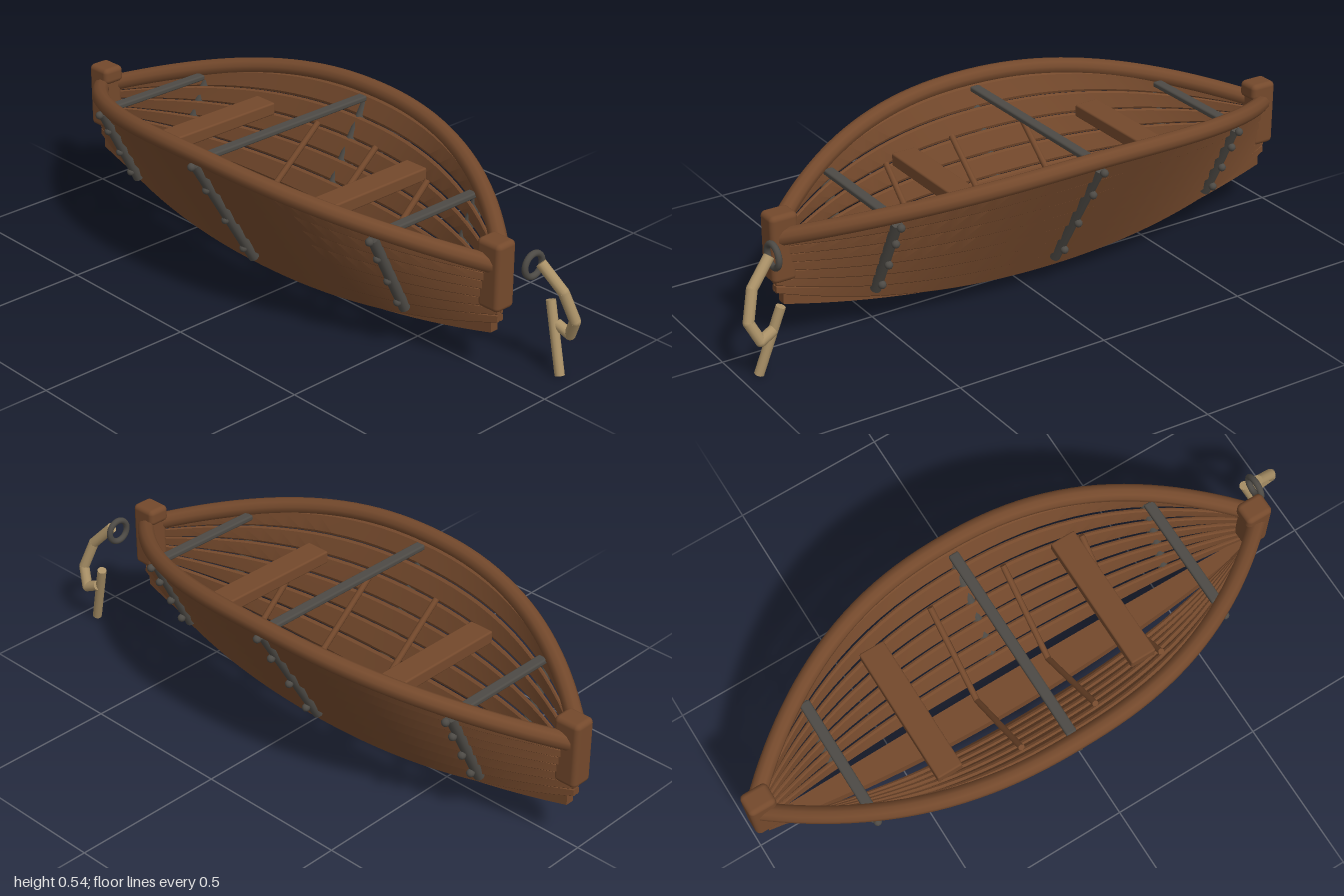
import * as THREE from 'three';
import { toCreasedNormals } from 'three/addons/utils/BufferGeometryUtils.js';
import { RoundedBoxGeometry } from 'three/addons/geometries/RoundedBoxGeometry.js';

const CX = -0.08;   // middle of the hull along x
const HALF = 0.9;   // half length of the hull
const V = (x, y, z) => new THREE.Vector3(x, y, z);
const lerp = THREE.MathUtils.lerp;

// Fullness along the hull (t runs -1..1): sheer in height, beam in width
const sheer = t => 1 - t * t;
const beam = t => 1 - Math.abs(t) ** 2.3;

// Skin a list of equal-sized cross-sections, with capped ends
function loft(sections) {
  const n = sections[0].length, pos = [], tris = [];
  for (const s of sections) for (const p of s) pos.push(p.x, p.y, p.z);
  for (let i = 0; i < sections.length - 1; i++) {
    for (let j = 0; j < n; j++) {
      const a = i * n + j, b = i * n + (j + 1) % n;
      tris.push([a, b, b + n], [a, b + n, a + n]);
    }
  }
  const last = (sections.length - 1) * n;
  for (let j = 1; j < n - 1; j++) tris.push([0, j + 1, j], [last, last + j, last + j + 1]);
  // Turn the faces outward if the enclosed volume is negative
  const at = i => V(pos[3 * i], pos[3 * i + 1], pos[3 * i + 2]);
  const volume = tris.reduce((v, t) => v + at(t[0]).dot(at(t[1]).cross(at(t[2]))), 0);
  if (volume < 0) tris.forEach(t => t.reverse());
  const g = new THREE.BufferGeometry();
  g.setAttribute('position', new THREE.Float32BufferAttribute(pos, 3));
  g.setIndex(tris.flat());
  return toCreasedNormals(g, 0.6);
}

export function createModel() {
  const boat = new THREE.Group();
  boat.name = 'rowingBoat';
  const material = (name, color) => Object.assign(new THREE.MeshStandardMaterial({ color }), { name });
  const wood = material('brown wood', 0x74492c);
  const iron = material('dark iron', 0x4d4a45);
  const rope = material('tan rope', 0xab9268);

  const add = (name, geometry, mat, x = 0, y = 0, z = 0) => {
    const m = new THREE.Mesh(geometry, mat);
    m.name = name;
    m.position.set(x, y, z);
    boat.add(m);
    return m;
  };
  const rod = (name, a, b, r, mat, sides = 12) => {
    const m = add(name, new THREE.CylinderGeometry(r, r, a.distanceTo(b), sides), mat);
    m.position.copy(a).lerp(b, 0.5);
    m.quaternion.setFromUnitVectors(V(0, 1, 0), b.clone().sub(a).normalize());
  };

  // Point on the hull: k runs from keel to rim (0..1)
  const hull = (t, k) => ({
    y: lerp(lerp(0.19, 0.34, k), lerp(0.085, 0.465, k), sheer(t)),
    z: lerp(0.006, lerp(0.104, 0.338, k), beam(t)),
  });

  const steps = 32, strakes = 7;
  const stations = Array.from({ length: steps + 1 }, (_, i) => -1 + 2 * i / steps);

  for (const side of [1, -1]) {
    // Side planks with fine gaps, lower edges leaning outward
    for (let i = 0; i < strakes; i++) {
      const k = i / (strakes - 1);
      const sections = stations.map(t => {
        const s = sheer(t), c = hull(t, k);
        const angle = lerp(0.05, 0.55, s) - 0.14;
        const dz = Math.sin(angle), dy = Math.cos(angle);
        const w = lerp(0.0115, 0.0365, s), h = lerp(0.006, 0.009, s);
        return [[-1, -0.4], [-0.8, -1], [0.8, -1], [1, -0.4], [1, 0.4], [0.8, 1], [-0.8, 1], [-1, 0.4]]
          .map(([u, v]) => V(CX + t * HALF, c.y + u * w * dy - v * h * dz,
            side * (c.z + u * w * dz + v * h * dy)));
      });
      add('sidePlank', loft(sections), wood);
    }

    // Round rim along the top edge
    const rimPath = new THREE.CatmullRomCurve3(stations.map(t =>
      V(CX + t * 0.885, 0.36 + 0.158 * sheer(t), side * (0.014 + 0.354 * beam(t)))));
    add('gunwale', new THREE.TubeGeometry(rimPath, 48, 0.027, 10), wood);

    // Iron straps with rivets on the outside
    const inset = side > 0 ? 0 : 0.009;
    for (const [x, z1, y1, z0, y0] of [
      [-0.69, 0.226, 0.412, 0.09, 0.142],
      [-0.08, 0.362, 0.481, 0.132, 0.094],
      [0.53, 0.226, 0.412, 0.09, 0.142]]) {
      rod('strap', V(x, y1, side * (z1 - inset)), V(x, y0, side * (z0 - inset)), 0.017, iron);
      for (const f of [0, 0.24, 0.56, 0.87]) {
        add('rivet', new THREE.SphereGeometry(0.013, 10, 8), iron,
          x, lerp(y1, y0, f) - 0.005, side * (lerp(z1, z0, f) + 0.013));
      }
    }

    // Slim ribs down the inside, meeting above the keel
    for (const x of [-0.21, 0.05, 0.31]) {
      const top = hull((x - CX) / HALF, 0.8);
      rod('rib', V(x, top.y, side * (top.z - 0.025)), V(x, 0.165, 0), 0.01, wood, 8);
    }
  }

  // Curved keel board, narrowing toward both ends
  add('keel', loft(stations.map(t => {
    const s = sheer(t), w = lerp(0.014, 0.055, s), y = lerp(0.14, 0.035, s);
    return [[-1, 0], [1, 0], [1, 1], [-1, 1]].map(([u, v]) =>
      V(CX + t * 0.88, y + v * 0.04, u * w));
  })), wood);

  // End posts
  for (const end of [-1, 1]) {
    add('endPost', new RoundedBoxGeometry(0.08, 0.215, 0.075, 3, 0.016), wood, CX + end * 0.88, 0.328, 0);
    add('endPostCap', new RoundedBoxGeometry(0.09, 0.055, 0.075, 3, 0.016), wood, CX + end * 0.875, 0.408, 0);
  }

  // Benches
  for (const x of [-0.43, 0.25]) {
    add('bench', new RoundedBoxGeometry(0.085, 0.042, 0.46, 2, 0.006), wood, x, 0.385, -0.01);
  }

  // Flat iron bars across the hull
  for (const [x, y, half] of [[-0.69, 0.42, 0.19], [-0.08, 0.494, 0.335], [0.53, 0.42, 0.19]]) {
    add('crossBar', new RoundedBoxGeometry(0.034, 0.018, half * 2, 2, 0.006), iron, x, y, 0);
  }

  // Mooring ring and its rope
  add('mooringRing', new THREE.TorusGeometry(0.036, 0.01, 10, 28), iron, 0.862, 0.346, -0.085)
    .rotation.y = Math.PI / 2;
  const loop = [V(0.88, 0.355, -0.096), V(0.95, 0.28, -0.118), V(0.978, 0.19, -0.142),
    V(0.95, 0.13, -0.157), V(0.905, 0.15, -0.15)];
  for (let i = 0; i < loop.length - 1; i++) {
    rod('ropeLoop', loop[i], loop[i + 1], 0.017, rope);
    if (i) add('ropeBend', new THREE.SphereGeometry(0.017, 12, 8), rope, ...loop[i].toArray());
  }
  rod('ropeEnd', V(0.878, 0.218, -0.15), V(0.946, 0.006, -0.126), 0.015, rope);

  return boat;
}
